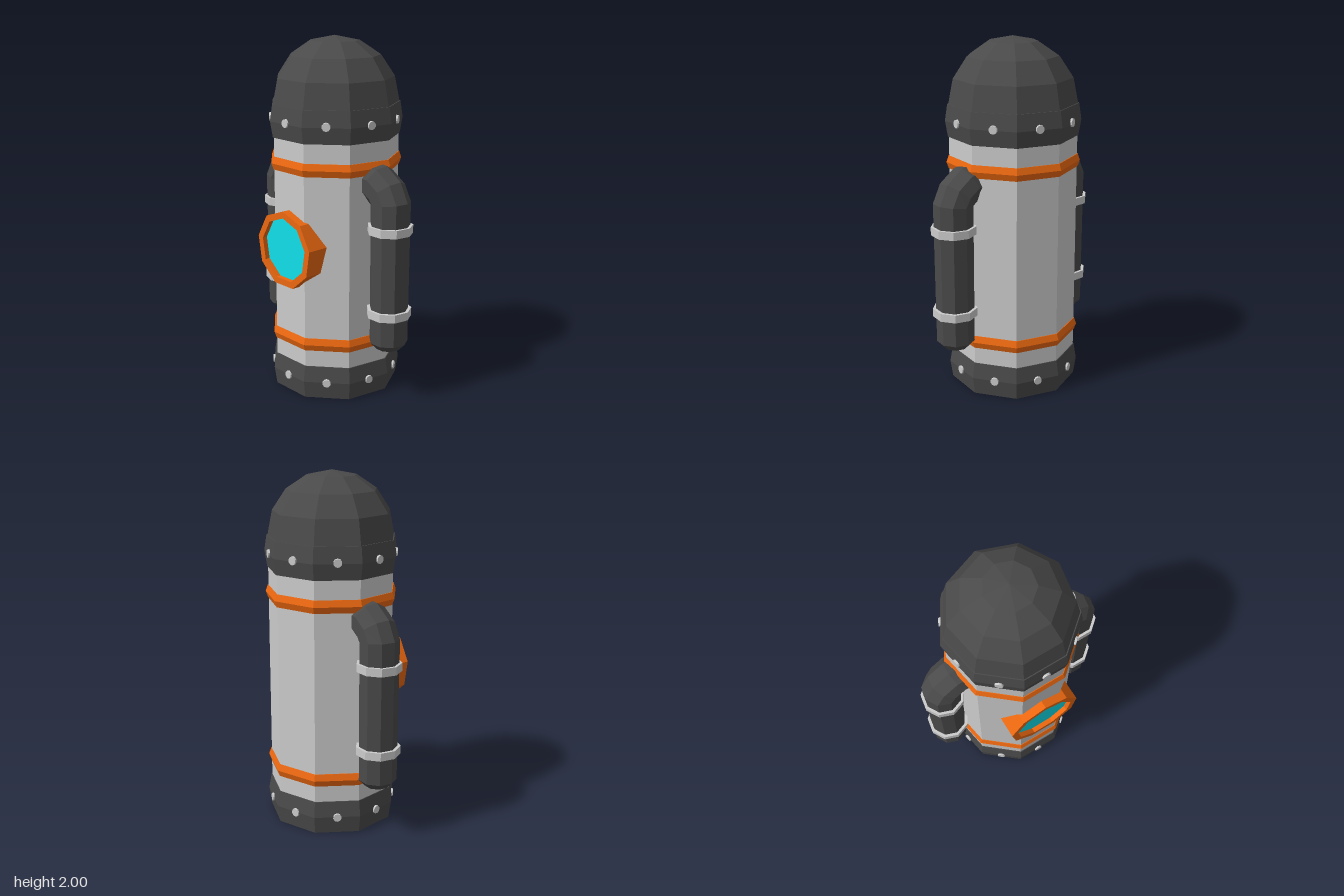
import * as THREE from 'three';

const SIDES = 9;
const material = (color) => new THREE.MeshStandardMaterial({ color, flatShading: true });

export function createModel() {
  const model = new THREE.Group();
  model.name = 'tank';
  const grey = material(0xcccccc);
  const dark = material(0x4a4a4a);
  const orange = material(0xec6810);
  const cyan = material(0x12e0ec);

  const add = (parent, name, geometry, mat) => {
    const mesh = new THREE.Mesh(geometry, mat);
    mesh.name = name;
    parent.add(mesh);
    return mesh;
  };

  // Nine-sided turned part with a flat side facing the front
  const turned = (profile) => new THREE.LatheGeometry(
    profile.map(([r, y]) => new THREE.Vector2(r, y)), SIDES, Math.PI);

  // Main shell, base cap and domed top cap
  add(model, 'shell', turned([[0.36, 0.1], [0.36, 1.55]]), grey);
  add(model, 'baseCap', turned([[0, 0], [0.365, 0], [0.38, 0.1], [0.365, 0.19], [0.35, 0.19]]), dark);
  add(model, 'topCap', turned([[0.35, 1.46], [0.365, 1.46], [0.38, 1.55], [0.366, 1.64], [0.34, 1.64]]), dark);
  const dome = [];
  for (let i = 0; i <= 4; i++) {
    const a = (i * Math.PI) / 8;
    dome.push([i === 4 ? 0 : 0.36 * Math.cos(a), 1.64 + 0.36 * Math.sin(a)]);
  }
  add(model, 'dome', turned(dome), dark);

  // Bevelled bands around the shell
  for (const y of [0.322, 1.318]) {
    add(model, 'band', turned([[0.355, y - 0.036], [0.364, y - 0.036], [0.377, y],
      [0.364, y + 0.036], [0.355, y + 0.036]]), orange);
  }

  // One rivet on each flat of both caps
  const rivetGeometry = new THREE.CylinderGeometry(0.023, 0.027, 0.03, 10).rotateX(Math.PI / 2);
  for (const y of [0.098, 1.555]) {
    for (let i = 0; i < SIDES; i++) {
      const a = (i * 2 * Math.PI) / SIDES;
      const rivet = add(model, 'rivet', rivetGeometry, grey);
      rivet.position.set(0.35 * Math.sin(a), y, 0.35 * Math.cos(a));
      rivet.rotation.y = a;
    }
  }

  // Porthole: open ring with recessed glass, one corner pointing up
  const nonagon = (r) => Array.from({ length: SIDES }, (_, i) => {
    const a = (i * 2 * Math.PI) / SIDES;
    return new THREE.Vector2(-r * Math.sin(a), r * Math.cos(a));
  });
  const porthole = new THREE.Group();
  porthole.name = 'porthole';
  porthole.position.y = 0.855;
  model.add(porthole);
  const rim = new THREE.Shape(nonagon(0.22));
  rim.holes.push(new THREE.Path(nonagon(0.181).reverse()));
  const rimGeometry = new THREE.ExtrudeGeometry(rim, { depth: 0.145, bevelEnabled: false });
  add(porthole, 'portholeRim', rimGeometry.translate(0, 0, 0.24), orange);
  const glass = new THREE.ShapeGeometry(new THREE.Shape(nonagon(0.183)));
  add(porthole, 'portholeGlass', glass.translate(0, 0, 0.357), cyan);

  // Side pipes with clamps; the second is the first turned half round
  const pipeGeometry = ringTube([
    [0.44, 0.287, 0, 0], [0.44, 0.306, 0.07, 0], [0.44, 0.345, 0.107, 0],
    [0.44, 1.14, 0.11, 0.1], [0.41, 1.19, 0.11, 0.7],
    [0.345, 1.233, 0.11, 1.15], [0.25, 1.235, 0.11, 1.57],
  ]);
  const clampGeometry = new THREE.CylinderGeometry(0.125, 0.125, 0.046, SIDES, 1, false, Math.PI);
  for (const side of ['left', 'right']) {
    const pipe = new THREE.Group();
    pipe.name = side + 'PipeAssembly';
    pipe.rotation.y = side === 'left' ? 0 : Math.PI;
    model.add(pipe);
    add(pipe, 'pipe', pipeGeometry, dark);
    for (const y of [0.52, 0.997]) {
      add(pipe, 'clamp', clampGeometry, grey).position.set(0.44, y, 0);
    }
  }
  return model;
}

// Skin over nine-sided rings given as [x, y, radius, tilt]
function ringTube(rings) {
  const point = ([x, y, r, tilt], j) => {
    const a = (j * 2 * Math.PI) / SIDES;
    const out = r * Math.sin(a);
    return [x + out * Math.cos(tilt), y + out * Math.sin(tilt), -r * Math.cos(a)];
  };
  const positions = [];
  for (let i = 0; i < rings.length - 1; i++) {
    for (let j = 0; j < SIDES; j++) {
      const a = point(rings[i], j);
      const b = point(rings[i + 1], j);
      const c = point(rings[i + 1], j + 1);
      const d = point(rings[i], j + 1);
      positions.push(...a, ...b, ...c);
      if (rings[i][2] > 0) positions.push(...a, ...c, ...d);
    }
  }
  const geometry = new THREE.BufferGeometry();
  geometry.setAttribute('position', new THREE.Float32BufferAttribute(positions, 3));
  geometry.computeVertexNormals();
  return geometry;
}
